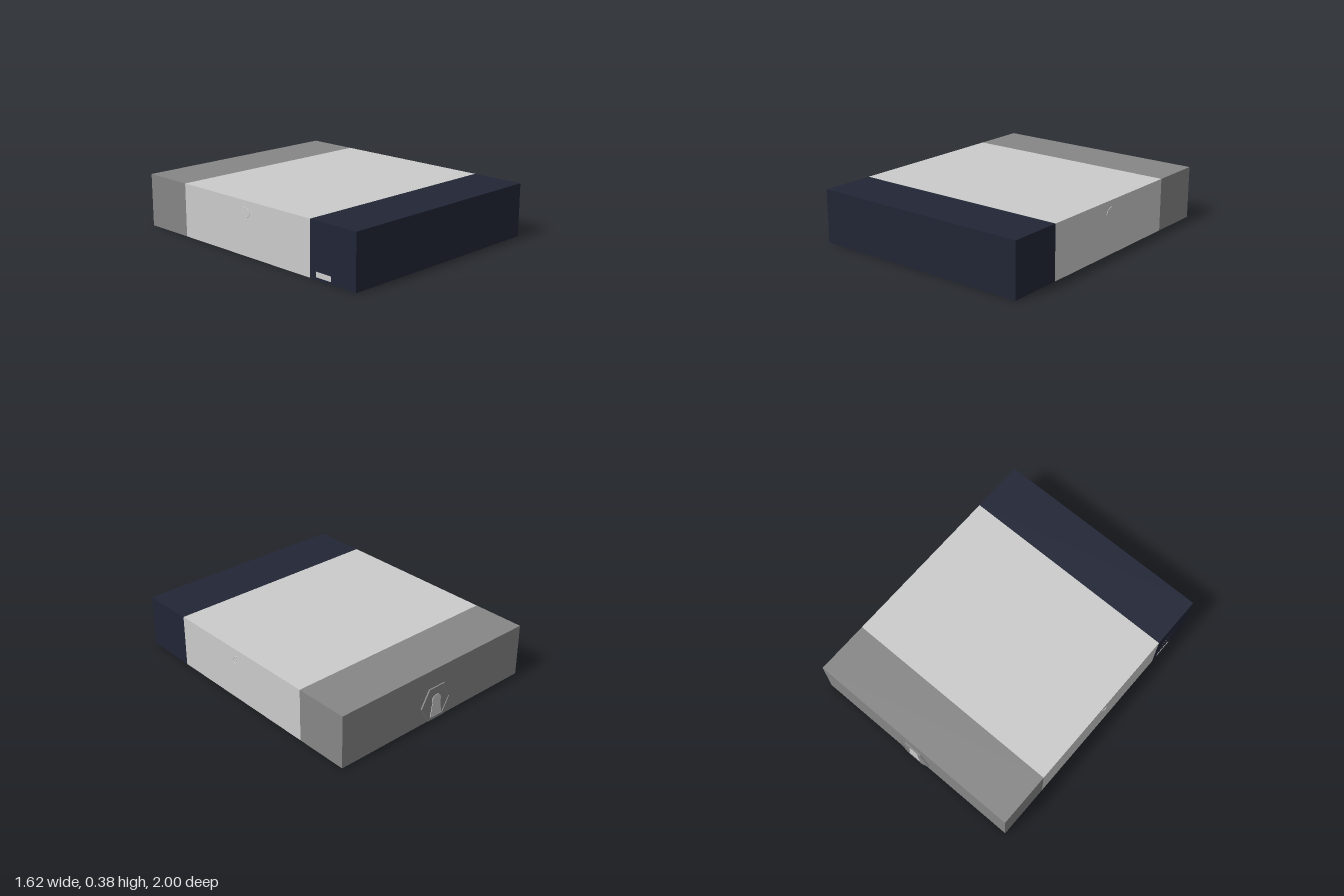
import * as THREE from 'three';

const mat = (color) => new THREE.MeshStandardMaterial({ color, flatShading: true });
const light = mat(0xcccccc), grey = mat(0x868686), navy = mat(0x212636);

function add(parent, name, geometry, material, x = 0, y = 0, z = 0) {
  const mesh = new THREE.Mesh(geometry, material);
  mesh.name = name;
  mesh.position.set(x, y, z);
  parent.add(mesh);
  return mesh;
}

const extrude = (shape, depth) =>
  new THREE.ExtrudeGeometry(shape, { depth, bevelEnabled: false, curveSegments: 16 });

// Flat-topped hexagon outline
function hexPoints(r) {
  return Array.from({ length: 6 }, (_, i) =>
    new THREE.Vector2(r * Math.cos(i * Math.PI / 3), r * Math.sin(i * Math.PI / 3)));
}

// Half disc with its flat side down
function dome(r) {
  const s = new THREE.Shape();
  s.absarc(0, 0, r, 0, Math.PI);
  s.closePath();
  return s;
}

export function createModel() {
  const model = new THREE.Group();
  const W = 1.61, H = 0.375;

  // Body in three colour bands, back to front
  const bands = [
    ['backBand', -0.99, -0.605, grey],
    ['middleBand', -0.605, 0.615, light],
    ['frontBand', 0.615, 1, navy],
  ];
  for (const [name, z0, z1, material] of bands) {
    add(model, name, new THREE.BoxGeometry(W, H, z1 - z0), material, 0, H / 2, (z0 + z1) / 2);
  }

  // Hexagonal keyhole plate on the back, built facing +z and turned round
  const plate = new THREE.Group();
  plate.name = 'keyholePlate';
  plate.position.set(0, 0.125, -0.99);
  plate.rotation.y = Math.PI;
  const rim = new THREE.Shape(hexPoints(0.137));
  rim.holes.push(new THREE.Path(hexPoints(0.115).reverse()));
  add(plate, 'plateRim', extrude(rim, 0.01), grey);
  add(plate, 'plateFloor', extrude(new THREE.Shape(hexPoints(0.115)), 0.004), grey);
  const key = new THREE.Shape();
  key.moveTo(-0.05, -0.095);
  key.lineTo(0.05, -0.095);
  key.lineTo(0.036, 0);
  key.absarc(0, 0.018, 0.04, -0.46, Math.PI + 0.46);
  key.closePath();
  add(plate, 'keyhole', extrude(key, 0.008), light);
  model.add(plate);

  // Small curved ridges on both sides
  for (const side of [-1, 1]) {
    const arc = new THREE.CatmullRomCurve3([
      new THREE.Vector3(0, 0.33, 0.0),
      new THREE.Vector3(0, 0.315, 0.045),
      new THREE.Vector3(0, 0.285, 0.06),
      new THREE.Vector3(0, 0.262, 0.035),
    ]);
    add(model, side > 0 ? 'leftRidge' : 'rightRidge',
      new THREE.TubeGeometry(arc, 12, 0.003, 6), light, side * W / 2);
  }

  // Low arched relief on the right side of the front band
  const relief = new THREE.Group();
  relief.name = 'archedRelief';
  relief.position.set(-W / 2, 0.075, 0.78);
  relief.rotation.y = -Math.PI / 2;
  add(relief, 'outerArch', extrude(dome(0.13), 0.001), navy);
  add(relief, 'innerArch', extrude(dome(0.09), 0.002), navy);
  add(relief, 'lowerStrip', new THREE.BoxGeometry(0.13, 0.035, 0.003), light, -0.05, -0.04, 0);
  model.add(relief);

  return model;
}
